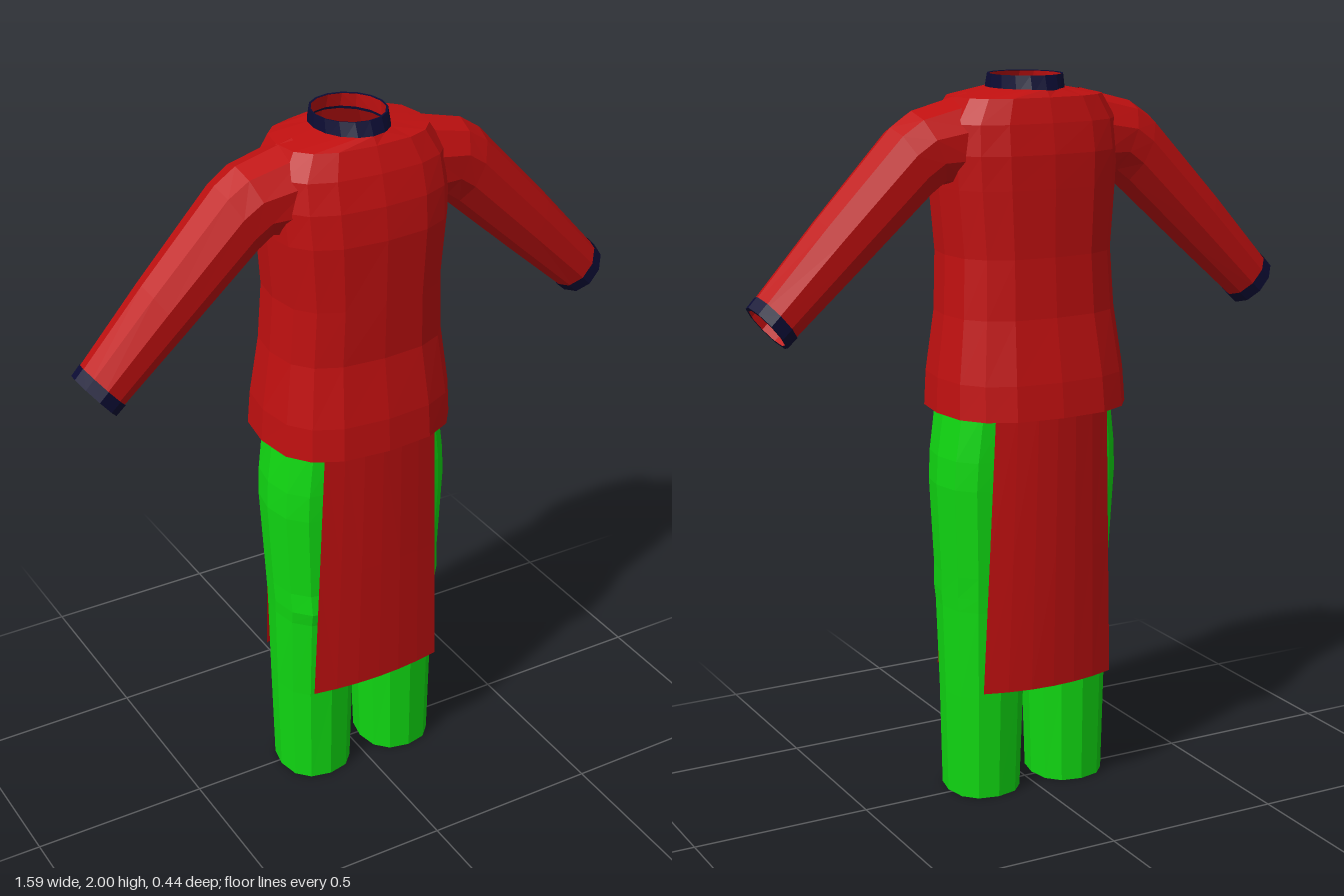
import * as THREE from 'three';

const mat = (name, color) => new THREE.MeshStandardMaterial({ name, color, flatShading: true, side: THREE.DoubleSide });

// Skin a list of rings (or open rows) of points into a faceted surface
function loft(rings, closed = true, flip = false) {
  const n = rings[0].length, pos = [], idx = [];
  rings.forEach(r => r.forEach(p => pos.push(...p)));
  for (let i = 0; i < rings.length - 1; i++) {
    for (let j = 0; j < (closed ? n : n - 1); j++) {
      const k = (j + 1) % n;
      const a = i * n + j, b = i * n + k, c = a + n, d = b + n;
      if (flip) idx.push(a, b, c, b, d, c);
      else idx.push(a, c, b, b, c, d);
    }
  }
  const g = new THREE.BufferGeometry();
  g.setAttribute('position', new THREE.Float32BufferAttribute(pos, 3));
  g.setIndex(idx);
  const out = g.toNonIndexed();
  out.computeVertexNormals();
  return out;
}

// Horizontal ring spanning x0..x1 and zb..zf; power below 1 makes it boxier
function ring(y, x0, x1, zf, zb, sides, power = 1) {
  const soft = v => Math.sign(v) * Math.abs(v) ** power;
  return Array.from({ length: sides }, (_, j) => {
    const t = j / sides * Math.PI * 2;
    return [(x0 + x1) / 2 + soft(Math.cos(t)) * (x1 - x0) / 2, y,
      (zf + zb) / 2 + soft(Math.sin(t)) * (zf - zb) / 2];
  });
}

// Tilted sleeve ring between an upper and a lower point, mirrored by s
function sleeveRing(s, [tx, ty, bx, by, rz], grow = 0) {
  const mx = (tx + bx) / 2, my = (ty + by) / 2, hx = (tx - bx) / 2, hy = (ty - by) / 2;
  const k = 1 + grow / Math.hypot(hx, hy);
  return Array.from({ length: 10 }, (_, j) => {
    const t = j / 10 * Math.PI * 2, c = Math.cos(t) * k;
    return [s * (mx + hx * c), my + hy * c, 0.01 - Math.sin(t) * (rz + grow)];
  });
}

export function createModel() {
  const red = mat('red cloth', 0xc01010);
  const green = mat('green cloth', 0x10d812);
  const navy = mat('navy trim', 0x0c0c34);
  const model = new THREE.Group();
  model.name = 'tunicAndTrousers';
  const add = (name, geometry, material) => {
    const m = new THREE.Mesh(geometry, material);
    m.name = name;
    model.add(m);
  };

  // Tunic body: height, half width, front, back
  const body = [
    [1.105, 0.27, 0.22, -0.22], [1.2, 0.265, 0.215, -0.21], [1.37, 0.243, 0.19, -0.18],
    [1.53, 0.235, 0.195, -0.17], [1.71, 0.25, 0.2, -0.17], [1.8, 0.255, 0.19, -0.168],
    [1.88, 0.25, 0.168, -0.155], [1.945, 0.21, 0.14, -0.137],
  ].map(([y, w, f, b]) => ring(y, -w, w, f, b, 16, 0.74));
  body.push(ring(1.965, -0.1, 0.1, 0.125, -0.12, 16));
  add('tunicBody', loft(body), red);

  // Collar with a narrow rim and a red lining
  add('collar', loft([
    ring(1.95, -0.103, 0.103, 0.132, -0.127, 16),
    ring(2, -0.1, 0.1, 0.107, -0.11, 16),
    ring(1.999, -0.094, 0.094, 0.101, -0.104, 16),
  ]), navy);
  add('collarLining', loft([
    ring(1.96, -0.097, 0.097, 0.122, -0.117, 16),
    ring(1.998, -0.095, 0.095, 0.102, -0.105, 16),
  ]), red);

  // Sleeve sections: upper x, y, lower x, y, half depth
  const sections = [
    [0.17, 1.955, 0.2, 1.7, 0.115], [0.33, 1.913, 0.25, 1.715, 0.102], [0.39, 1.873, 0.29, 1.685, 0.097],
    [0.6, 1.65, 0.5, 1.498, 0.085], [0.792, 1.435, 0.7, 1.323, 0.073],
  ];
  const cuffStart = [0.768, 1.461, 0.673, 1.347, 0.0745];
  const end = sections[4];

  for (const s of [1, -1]) {
    const side = s > 0 ? 'left' : 'right';
    add(side + 'Sleeve', loft(sections.map(p => sleeveRing(s, p)), true, s < 0), red);
    // Cuff band turned in at the opening
    add(side + 'Cuff', loft([
      sleeveRing(s, cuffStart, 0.003), sleeveRing(s, end, 0.003), sleeveRing(s, end, -0.008),
    ], true, s < 0), navy);

    // Trouser leg: height, inner x, outer x, front, back
    const leg = [
      [0, 0.03, 0.237, 0.127, -0.095], [0.3, 0.02, 0.243, 0.132, -0.103], [0.55, 0.01, 0.248, 0.148, -0.11],
      [0.59, 0.008, 0.25, 0.157, -0.112], [0.65, 0.006, 0.252, 0.15, -0.115], [0.9, 0, 0.265, 0.158, -0.128],
      [0.98, 0, 0.261, 0.16, -0.132], [1.12, 0, 0.242, 0.16, -0.137],
    ].map(([y, i, o, f, b]) => ring(y, Math.min(s * i, s * o), Math.max(s * i, s * o), f, b, 12, 0.85));
    add(side + 'TrouserLeg', loft(leg), green);
  }

  // Hanging panels, gently bowed across their width
  const panel = (zTop, zBottom, bow) => [[0.33, 0.2, zBottom], [0.72, 0.185, (zTop + zBottom) / 2], [1.13, 0.17, zTop]]
    .map(([y, w, z]) => Array.from({ length: 7 }, (_, j) => {
      const u = j / 3 - 1;
      return [u * w, y, z - bow * u * u];
    }));
  add('frontPanel', loft(panel(0.19, 0.173, 0.02), false, true), red);
  add('backPanel', loft(panel(-0.19, -0.168, -0.035), false), red);

  return model;
}
